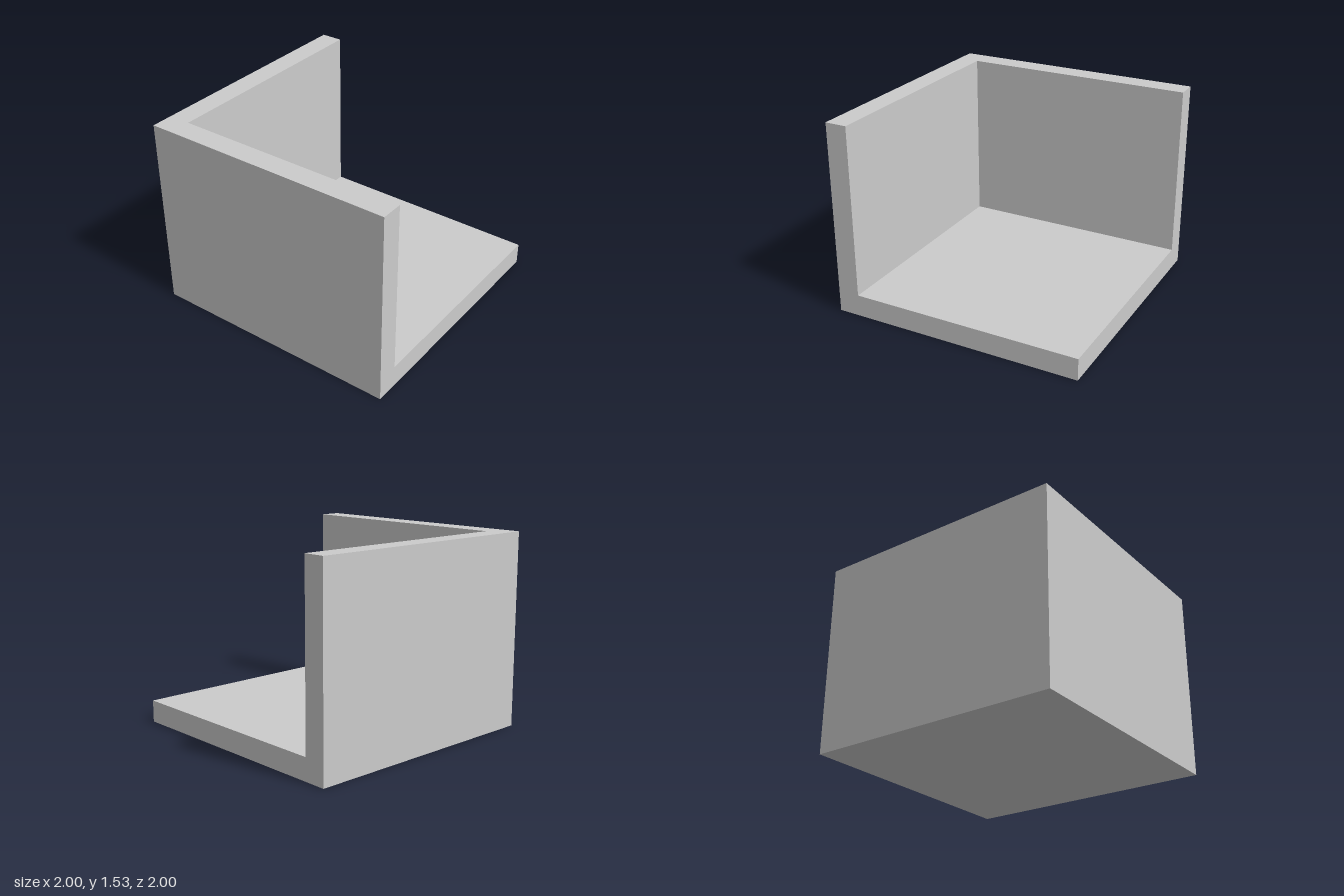
import * as THREE from 'three';

const SIZE = 2, HEIGHT = 1.527, WALL = 0.173;

export function createModel() {
  const group = new THREE.Group();
  group.name = 'cornerRoom';
  const material = new THREE.MeshStandardMaterial({ color: 0xcccccc, flatShading: true });

  // Box given by its minimum and maximum corners
  function slab(name, min, max) {
    const [w, h, d] = max.map((v, i) => v - min[i]);
    const mesh = new THREE.Mesh(new THREE.BoxGeometry(w, h, d), material);
    mesh.position.set(...max.map((v, i) => (v + min[i]) / 2));
    mesh.name = name;
    group.add(mesh);
  }

  const half = SIZE / 2;
  // Square floor, with two walls standing on it and meeting at the back corner
  slab('floor', [-half, 0, -half], [half, WALL, half]);
  slab('backWall', [-half, WALL, -half], [half, HEIGHT, -half + WALL]);
  slab('rightWall', [-half, WALL, -half + WALL], [-half + WALL, HEIGHT, half]);

  return group;
}
